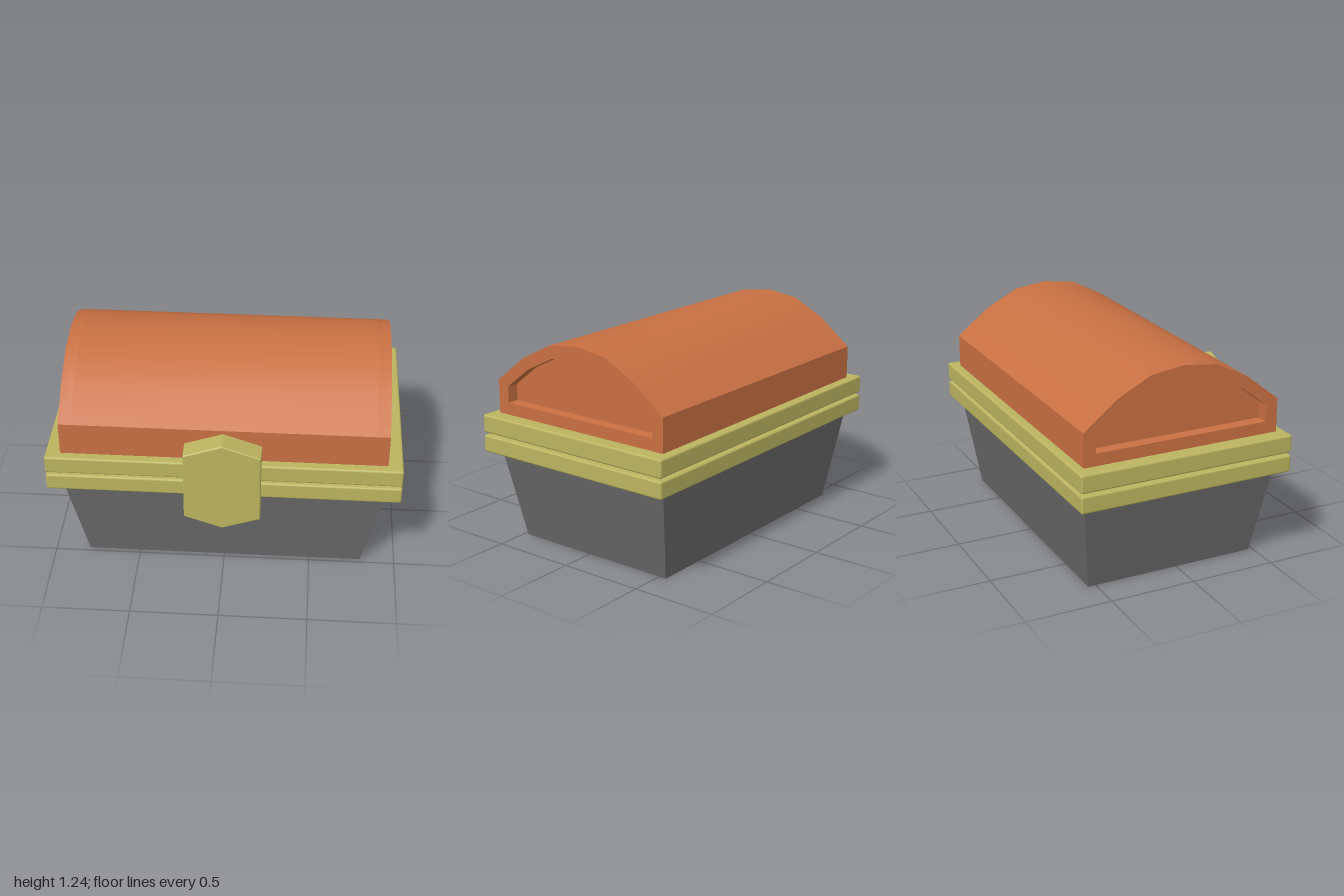
import * as THREE from 'three';
import { toCreasedNormals } from 'three/addons/utils/BufferGeometryUtils.js';
import { RoundedBoxGeometry } from 'three/addons/geometries/RoundedBoxGeometry.js';

const CENTRE_Z = -0.035; // the chest sits slightly back to leave room for the latch

const orange = new THREE.MeshStandardMaterial({ color: 0xc87042 });
const brass = new THREE.MeshStandardMaterial({ color: 0xbbb45f });
const darkGrey = new THREE.MeshStandardMaterial({ color: 0x6a6a6a });

// Symmetric arched outline from its right half, given as [offset, height] from base to crown
function archPoints(half) {
  const right = half.map(([x, y]) => new THREE.Vector2(x, y));
  const left = half.slice(0, -1).reverse().map(([x, y]) => new THREE.Vector2(-x, y));
  return [...right, ...left];
}

const outerArch = archPoints([[0.585, 0.755], [0.585, 0.955], [0.39, 1.11], [0.195, 1.21], [0, 1.235]]);
const innerArch = archPoints([[0.515, 0.83], [0.515, 0.925], [0.355, 1.05], [0.175, 1.14], [0, 1.165]]);

export function createModel() {
  const chest = new THREE.Group();
  chest.name = 'chest';

  function add(name, geometry, material, x = 0, y = 0, z = 0) {
    const mesh = new THREE.Mesh(geometry, material);
    mesh.name = name;
    mesh.position.set(x, y, z);
    chest.add(mesh);
    return mesh;
  }

  // Extrude an outline along x, starting at the given x
  function addAlongX(name, shape, start, length) {
    const geometry = new THREE.ExtrudeGeometry(shape, { depth: length, bevelEnabled: false });
    geometry.rotateY(Math.PI / 2);
    add(name, toCreasedNormals(geometry, 0.6), orange, start, 0, CENTRE_Z);
  }

  // Tapered base: narrower at the floor
  const base = new THREE.BoxGeometry(1.83, 0.56, 1.17);
  base.translate(0, 0.28, 0);
  const p = base.attributes.position;
  for (let i = 0; i < p.count; i++) {
    if (p.getY(i) < 0.1) p.setXYZ(i, Math.sign(p.getX(i)) * 0.8, 0, Math.sign(p.getZ(i)) * 0.51);
  }
  base.computeVertexNormals();
  add('base', base, darkGrey, 0, 0, CENTRE_Z);

  // Two rim bands with a narrow gap between them
  add('baseBand', new RoundedBoxGeometry(2, 0.1, 1.275, 2, 0.012), brass, 0, 0.59, CENTRE_Z);
  add('lidBand', new RoundedBoxGeometry(2, 0.105, 1.275, 2, 0.012), brass, 0, 0.7075, CENTRE_Z);

  // Arched lid with a raised frame around each recessed end panel
  const recess = 0.07;
  const halfLength = 0.915;
  addAlongX('lid', new THREE.Shape(outerArch), -halfLength + recess, 2 * (halfLength - recess));
  const frame = new THREE.Shape(outerArch);
  frame.holes.push(new THREE.Path(innerArch));
  addAlongX('leftLidFrame', frame, halfLength - recess, recess);
  addAlongX('rightLidFrame', frame, -halfLength, recess);

  // Six-sided latch plate with a fine bevel
  const bevel = 0.006;
  const w = 0.215 - bevel;
  const plate = new THREE.Shape([
    [0, 0.366], [w, 0.439], [w, 0.857], [0, 0.929], [-w, 0.857], [-w, 0.439],
  ].map(([x, y]) => new THREE.Vector2(x, y)));
  const latch = new THREE.ExtrudeGeometry(plate, {
    depth: 0.125 - 2 * bevel, bevelThickness: bevel, bevelSize: bevel, bevelSegments: 1,
  });
  add('latch', latch, brass, 0, 0, 0.545 + bevel);

  return chest;
}
